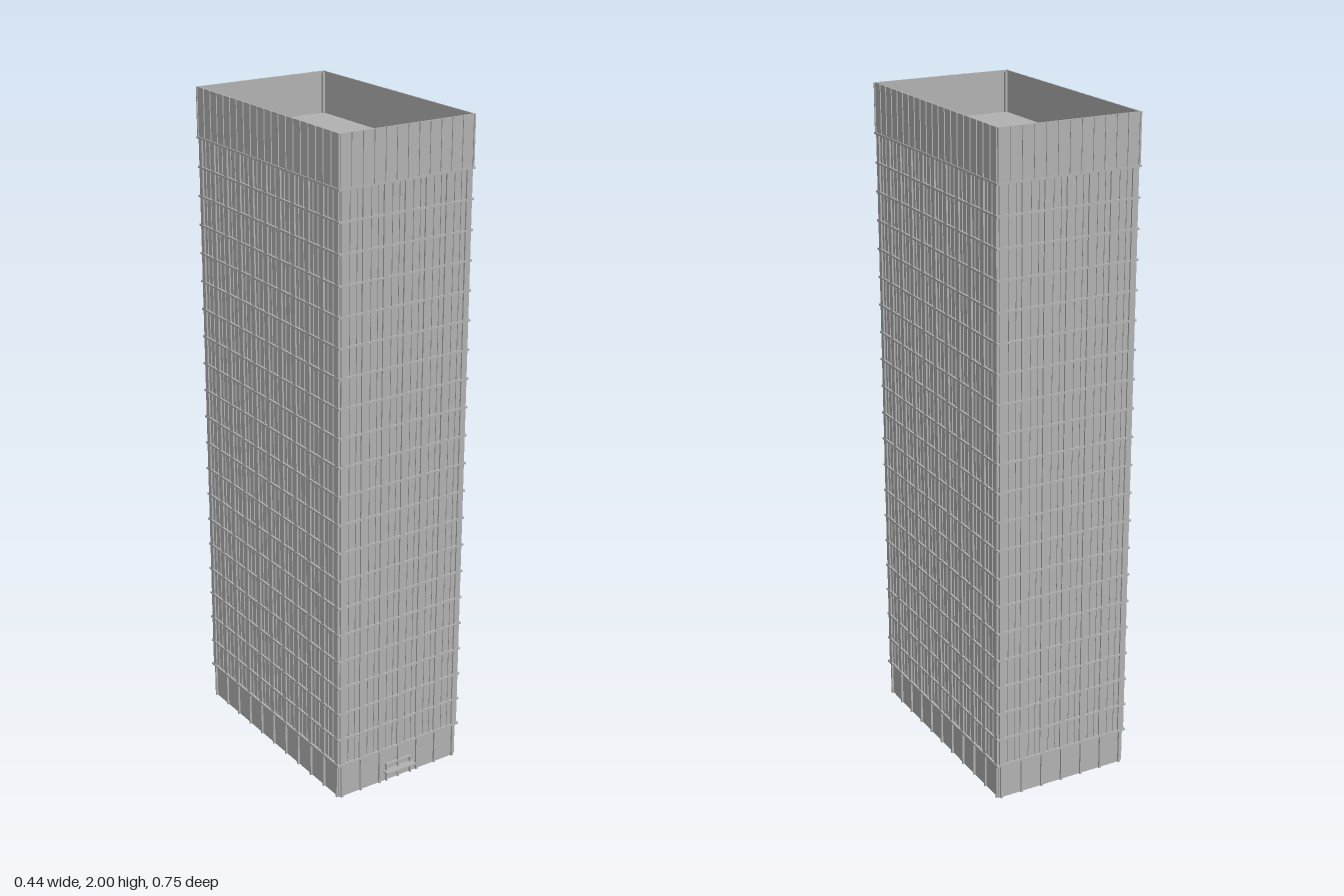
import * as THREE from 'three';
import { mergeGeometries } from 'three/addons/utils/BufferGeometryUtils.js';

const concrete = new THREE.MeshStandardMaterial({ color: 0xb2b2b2 });
concrete.name = 'concrete grey';

const CZ = -0.008;              // tower centre in z
const BASE = 0.11, CROWN = 1.85, TOP = 2, ROOF = 1.875;
const FLOORS = 20;

// Box from its two extreme corners
function box(x0, x1, y0, y1, z0, z1) {
  return new THREE.BoxGeometry(x1 - x0, y1 - y0, z1 - z0)
    .translate((x0 + x1) / 2, (y0 + y1) / 2, (z0 + z1) / 2);
}

// Four walls around the tower, open above and below
function ring(hx, hz, y0, y1, t) {
  return [
    box(-hx, hx, y0, y1, CZ + hz - t, CZ + hz),
    box(-hx, hx, y0, y1, CZ - hz, CZ - hz + t),
    box(-hx, -hx + t, y0, y1, CZ - hz + t, CZ + hz - t),
    box(hx - t, hx, y0, y1, CZ - hz + t, CZ + hz - t),
  ];
}

// Upright strips spread evenly over all four faces
function strips(nx, nz, hx, hz, spanX, spanZ, depth, w, y0, y1) {
  const out = [];
  for (let i = 0; i <= nx; i++) {
    const x = -spanX + (2 * spanX * i) / nx;
    out.push(box(x - w / 2, x + w / 2, y0, y1, CZ + hz, CZ + hz + depth));
    out.push(box(x - w / 2, x + w / 2, y0, y1, CZ - hz - depth, CZ - hz));
  }
  for (let i = 0; i <= nz; i++) {
    const z = CZ - spanZ + (2 * spanZ * i) / nz;
    out.push(box(hx, hx + depth, y0, y1, z - w / 2, z + w / 2));
    out.push(box(-hx - depth, -hx, y0, y1, z - w / 2, z + w / 2));
  }
  return out;
}

export function createModel() {
  const model = new THREE.Group();
  model.name = 'officeTower';
  const add = (name, parts) => {
    const mesh = new THREE.Mesh(mergeGeometries(parts), concrete);
    mesh.name = name;
    model.add(mesh);
  };

  // Hollow ground storey with columns
  add('baseWalls', ring(0.213, 0.361, 0, BASE, 0.004));
  add('baseColumns', strips(6, 10, 0.213, 0.361, 0.205, 0.354, 0.006, 0.006, 0, BASE));

  // Main shaft, its underside forms the lobby ceiling and its top the roof
  add('towerShaft', [box(-0.215, 0.215, BASE, ROOF, CZ - 0.363, CZ + 0.363)]);
  add('piers', strips(6, 10, 0.215, 0.363, 0.205, 0.354, 0.005, 0.016, BASE, CROWN));
  add('mullions', strips(18, 30, 0.215, 0.363, 0.205, 0.354, 0.003, 0.004, BASE, CROWN));

  // Floor ledges
  const ledges = [];
  for (let i = 0; i <= FLOORS; i++) {
    const y = BASE + ((CROWN - BASE) * i) / FLOORS;
    const out = i === 0 || i === FLOORS ? 0.2225 : 0.2215;
    ledges.push(...ring(out, out + 0.1475, y, y + 0.006, out - 0.214));
  }
  add('floorLedges', ledges);

  // Crown parapet with fins
  add('parapet', ring(0.219, 0.367, CROWN, TOP, 0.004));
  add('parapetFins', strips(12, 20, 0.219, 0.367, 0.216, 0.364, 0.003, 0.004, CROWN, TOP));

  // Corner posts inside the parapet
  const posts = [];
  for (const sx of [-1, 1]) for (const sz of [-1, 1]) {
    posts.push(new THREE.BoxGeometry(0.009, TOP - ROOF - 0.004, 0.009)
      .translate(sx * 0.2115, (TOP + ROOF) / 2 - 0.002, CZ + sz * 0.3595));
  }
  add('cornerPosts', posts);

  // Low roof slab
  add('roofSlab', [box(-0.146, 0.145, ROOF, ROOF + 0.003, -0.281, 0.264)]);

  // Entrance with frame, centre post and canopy
  const front = CZ + 0.361;
  const entrance = [box(-0.002, 0.002, 0, 0.035, front, front + 0.006)];
  for (const s of [-1, 1]) {
    entrance.push(box(s * 0.044 - 0.002, s * 0.044 + 0.002, 0, 0.058, front, front + 0.008));
  }
  entrance.push(box(-0.046, 0.046, 0.055, 0.059, front, front + 0.008));
  add('entranceFrame', entrance);
  add('entranceCanopy', [box(-0.054, 0.053, 0.033, 0.037, front, 0.377)]);

  return model;
}
